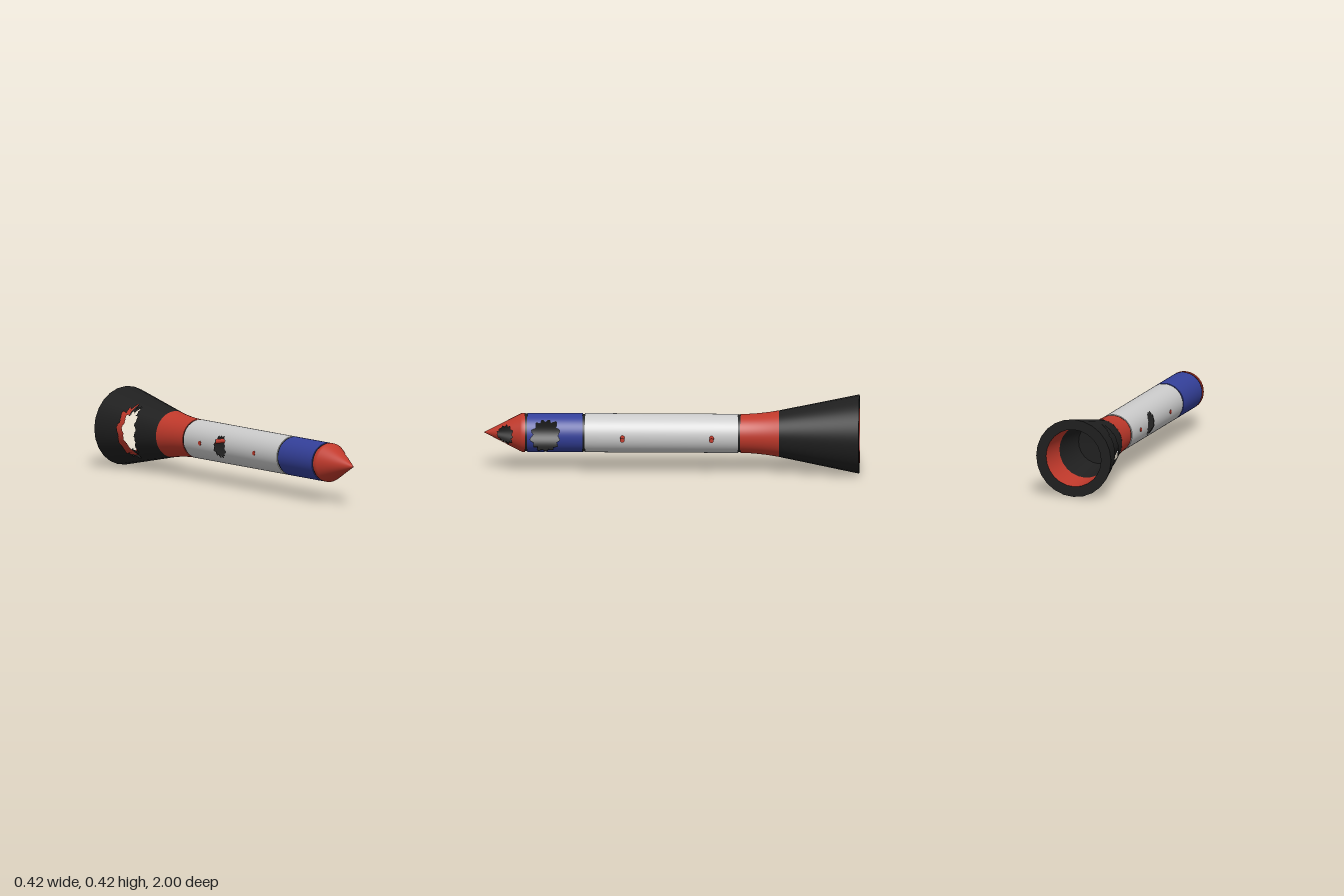
import * as THREE from 'three';

const RED = 0xc0392b, BLUE = 0x34409a, BLACK = 0x1f1f1f, GREY = 0xcccccc;
const AXIS_Y = 0.21, COLS = 144;

const mat = (color, side = THREE.FrontSide) => new THREE.MeshStandardMaterial({ color, side });

// Irregular spiky outline, as a factor of the hole's radius at angle phi
function jag(phi, seed) {
  const t = ((phi / Math.PI / 2 + 1) % 1) * 13, i = Math.floor(t), f = t - i;
  const h = (k) => { const s = Math.sin(((k % 13) + 1) * 12.9898 + seed * 78.233) * 43758.5453; return s - Math.floor(s); };
  const saw = f < 0.5 ? f * 2 : 2 - f * 2;
  return 0.74 + 0.1 * h(i) + saw * (0.14 + 0.14 * h(i + 5));
}

// Torn hole: angle and z of its centre, half angle, half length
function inHole(hole, theta, z) {
  if (!hole) return false;
  let da = theta - hole.angle;
  da = Math.atan2(Math.sin(da), Math.cos(da)) / hole.halfAngle;
  const dz = (z - hole.z) / hole.halfZ;
  return Math.hypot(da, dz) < jag(Math.atan2(dz, da), hole.seed);
}

// Revolves [z, r] points (front to back) about the long axis, leaving out the torn hole
function shell(profile, { hole = null, sides = 48 } = {}) {
  const pos = [], nor = [];
  const step = (2 * Math.PI) / sides, tilt = step / 2;
  const facet = (t) => {
    const m = (((t + tilt) % step) + step) % step - step / 2;
    return Math.cos(step / 2) / Math.cos(m);
  };
  // smoothed normals between bands that meet at a small angle
  const segN = profile.slice(1).map(([z, r], i) => new THREE.Vector2(profile[i][0] - z, r - profile[i][1]).normalize());
  const blend = (i, j) => (segN[j] && segN[i].dot(segN[j]) > 0.9 ? segN[i].clone().add(segN[j]).normalize() : segN[i]);
  const put = (theta, z, r, n) => {
    const f = r * facet(theta + tilt);
    pos.push(f * Math.cos(theta), AXIS_Y + f * Math.sin(theta), z);
    nor.push(n.x * Math.cos(theta), n.x * Math.sin(theta), n.y);
  };
  for (let i = 0; i < segN.length; i++) {
    const [z0, r0] = profile[i], [z1, r1] = profile[i + 1];
    const nA = blend(i, i - 1), nB = blend(i, i + 1);
    // fine rows only where the hole lies
    const cuts = [0, 1];
    if (hole && z0 > z1) {
      for (let k = 0; k <= 32; k++) {
        const t = (z0 - (hole.z + hole.halfZ * 1.15 * (1 - k / 16))) / (z0 - z1);
        if (t > 0 && t < 1) cuts.push(t);
      }
    }
    cuts.sort((a, b) => a - b);
    for (let k = 0; k + 1 < cuts.length; k++) {
      const [ta, tb] = [cuts[k], cuts[k + 1]];
      const za = z0 + (z1 - z0) * ta, zb = z0 + (z1 - z0) * tb;
      const ra = r0 + (r1 - r0) * ta, rb = r0 + (r1 - r0) * tb;
      const na = nA.clone().lerp(nB, ta), nb = nA.clone().lerp(nB, tb);
      for (let c = 0; c < COLS; c++) {
        const a = (c / COLS) * 2 * Math.PI, b = ((c + 1) / COLS) * 2 * Math.PI;
        const A = [a, za, ra, na], B = [b, za, ra, na], C = [b, zb, rb, nb], D = [a, zb, rb, nb];
        for (const tri of [[A, D, C], [A, C, B]]) {
          const t = (tri[0][0] + tri[1][0] + tri[2][0]) / 3, z = (tri[0][1] + tri[1][1] + tri[2][1]) / 3;
          if (!inHole(hole, t, z)) tri.forEach((p) => put(...p));
        }
      }
    }
  }
  const g = new THREE.BufferGeometry();
  g.setAttribute('position', new THREE.Float32BufferAttribute(pos, 3));
  g.setAttribute('normal', new THREE.Float32BufferAttribute(nor, 3));
  return g;
}

export function createModel() {
  const group = new THREE.Group();
  const add = (name, geometry, material) => {
    const mesh = new THREE.Mesh(geometry, material);
    mesh.name = name;
    group.add(mesh);
    return mesh;
  };

  const holes = {
    nose: { angle: 0, z: 0.888, halfAngle: 1.0, halfZ: 0.045, seed: 1 },
    front: { angle: 0, z: 0.67, halfAngle: 1.05, halfZ: 0.08, seed: 2 },
    body: { angle: Math.PI, z: -0.045, halfAngle: 0.65, halfZ: 0.052, seed: 3 },
    skirt: { angle: Math.PI, z: -0.78, halfAngle: 1.05, halfZ: 0.068, seed: 4 },
  };

  // Flared collar between body and skirt
  const collar = [[-0.367, 0.096], [-0.367, 0.103]];
  for (let i = 1; i <= 8; i++) {
    const t = i / 8;
    collar.push([-0.367 - 0.206 * t, 0.103 + 0.004 * t + 0.017 * t * t]);
  }

  // Outer skins, each torn open where it has a hole, with a dark lining just inside
  const sections = [
    ['noseCone', RED, [[1, 0], [0.805, 0.1], [0.795, 0.104], [0.78, 0.104], [0.78, 0.096]], holes.nose],
    ['frontSection', BLUE, [[0.768, 0.096], [0.768, 0.104], [0.473, 0.104], [0.473, 0.096]], holes.front],
    ['mainBody', GREY, [[0.461, 0.096], [0.461, 0.104], [-0.355, 0.104], [-0.355, 0.096]], holes.body],
    ['collar', RED, collar, null],
  ];
  for (const [name, color, profile, hole] of sections) {
    add(name, shell(profile, { hole }), mat(color));
    if (hole) {
      const inner = profile.map(([z, r]) => [z - (name === 'noseCone' ? 0.006 : 0), r * 0.96]);
      add(name + 'Lining', shell(inner, { hole }), mat(BLACK, THREE.DoubleSide));
    }
  }

  // Dark joint rings
  for (const z of [0.774, 0.467, -0.361]) {
    add('jointRing', shell([[z + 0.008, 0.1], [z - 0.008, 0.1]]), mat(BLACK));
  }

  // Tail skirt with its flat rear rim, red throat and dark inner wall
  add('skirt', shell([[-0.573, 0.124], [-1, 0.211], [-1, 0.155]], { hole: holes.skirt, sides: 24 }), mat(BLACK, THREE.DoubleSide));
  add('skirtThroat', shell([[-0.82, 0.143], [-1, 0.155]], { hole: holes.skirt, sides: 24 }), mat(RED, THREE.DoubleSide));
  add('skirtInnerWall', shell([[-0.6, 0], [-0.601, 0.112], [-0.82, 0.143]], { hole: holes.skirt, sides: 24 }), mat(BLACK, THREE.DoubleSide));

  // Pins running across the body and standing out on one side
  for (const z of [0.26, -0.215]) {
    const pin = add('pin', new THREE.CylinderGeometry(0.012, 0.012, 0.263, 16), mat(RED));
    pin.rotation.z = -Math.PI / 2;
    pin.position.set(0.0255, AXIS_Y, z);
  }
  return group;
}
